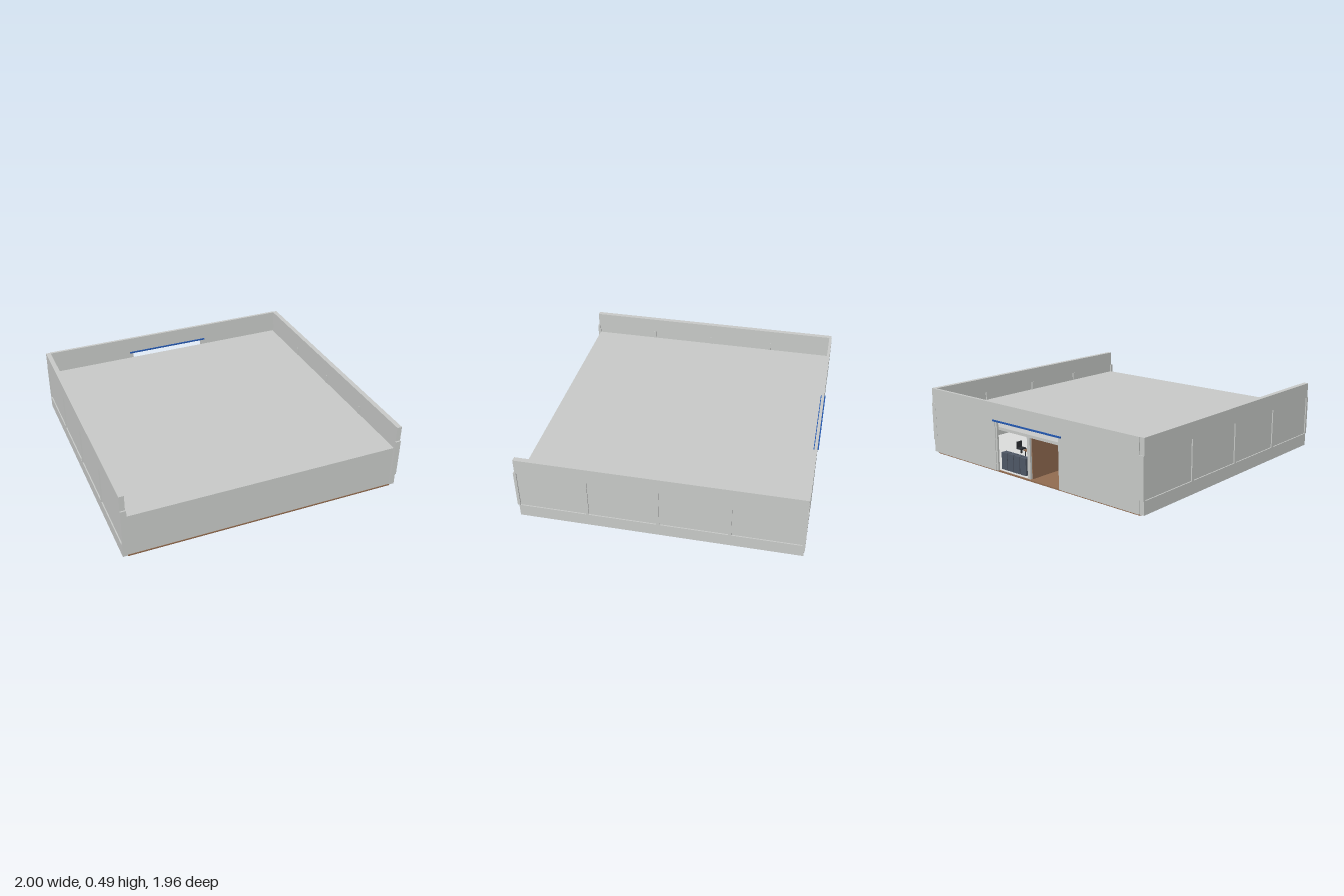
import * as THREE from 'three';

const mat = (name, color) => {
  const m = new THREE.MeshStandardMaterial({ color });
  m.name = name;
  return m;
};

export function createModel() {
  const root = new THREE.Group();
  root.name = 'building';
  const concrete = mat('light grey', 0xc8cac8);
  const wood = mat('brown', 0x926c50);
  const tile = mat('pale grey', 0xdcdddc);
  const blue = mat('blue', 0x2458b0);
  const slate = mat('slate', 0x4f5866);
  const dark = mat('charcoal', 0x2b2e33);

  // Box given by its low and high limits on each axis
  const box = (name, material, x0, x1, y0, y1, z0, z1, parent = root) => {
    const mesh = new THREE.Mesh(new THREE.BoxGeometry(x1 - x0, y1 - y0, z1 - z0), material);
    mesh.position.set((x0 + x1) / 2, (y0 + y1) / 2, (z0 + z1) / 2);
    mesh.name = name;
    parent.add(mesh);
    return mesh;
  };

  // Floor, roof slab and front wall
  box('floor', wood, -0.965, 0.965, 0, 0.01, -0.96, 0.965);
  box('roofSlab', concrete, -0.965, 0.965, 0.3, 0.32, -0.95, 0.962);
  box('frontWall', concrete, -0.965, 0.965, 0.01, 0.3, 0.94, 0.962);

  // Back wall with a doorway that reaches above the roof slab
  const outline = new THREE.Shape([
    [-0.965, 0.01], [-0.31, 0.01], [-0.31, 0.365], [0.31, 0.365],
    [0.31, 0.01], [0.965, 0.01], [0.965, 0.49], [-0.965, 0.49],
  ].map(([x, y]) => new THREE.Vector2(x, y)));
  const backWall = new THREE.Mesh(
    new THREE.ExtrudeGeometry(outline, { depth: 0.02, bevelEnabled: false }), concrete);
  backWall.position.z = -0.97;
  backWall.name = 'backWall';
  root.add(backWall);

  // Side walls: rails above and below, posts, and recessed panels
  for (const side of [-1, 1]) {
    const wall = new THREE.Group();
    wall.name = side > 0 ? 'leftWall' : 'rightWall';
    root.add(wall);
    const part = (name, inner, outer, y0, y1, z0, z1) =>
      box(name, concrete, Math.min(side * inner, side * outer), Math.max(side * inner, side * outer),
        y0, y1, z0, z1, wall);
    part('bottomRail', 0.965, 1, 0.01, 0.1, -0.965, 0.97);
    part('topRail', 0.965, 1, 0.38, 0.49, -0.965, 0.97);
    for (let i = 0; i < 4; i++) {
      const z = -0.952 + i * 0.483;
      part('panel', 0.972, 0.992, 0.1, 0.38, z, z + 0.466);
    }
    for (let i = 0; i < 5; i++) {
      const z = -0.961 + i * 0.483;
      part('post', 0.961, 1, 0.1, 0.38, z - 0.01, z + 0.01);
    }
  }

  // Doorway trim and jambs
  box('doorLintel', blue, -0.325, 0.325, 0.36, 0.371, -0.978, -0.943);
  for (const s of [-1, 1]) box('doorJamb', concrete, s * 0.302 - 0.008, s * 0.302 + 0.008, 0.01, 0.36, -0.966, -0.952);

  // Partition, timber on one face, and the tiled room beside it
  box('partition', concrete, -0.012, 0.015, 0.01, 0.3, -0.95, 0.94);
  box('partitionCladding', wood, -0.018, -0.012, 0.01, 0.3, -0.935, 0.94);
  box('tiledFloor', tile, 0.015, 0.961, 0.01, 0.013, -0.95, 0.94);

  // Row of cabinets by the doorway
  for (let i = 0; i < 4; i++) {
    const x = 0.055 + i * 0.062;
    box('cabinet', slate, x, x + 0.056, 0.013, 0.135, -0.93, -0.885);
  }

  // Table and chairs
  const table = new THREE.Group();
  table.name = 'table';
  root.add(table);
  box('tableTop', wood, 0.23, 0.35, 0.075, 0.083, -0.68, -0.62, table);
  for (const x of [0.24, 0.335]) for (const z of [-0.675, -0.63])
    box('tableLeg', dark, x, x + 0.006, 0.013, 0.075, z, z + 0.006, table);
  for (const [x, z] of [[0.47, -0.59], [0.325, -0.53]]) {
    const chair = new THREE.Group();
    chair.name = 'chair';
    chair.position.set(x, 0, z);
    root.add(chair);
    box('chairSeat', dark, -0.025, 0.025, 0.045, 0.055, -0.025, 0.025, chair);
    box('chairBack', dark, 0.018, 0.025, 0.055, 0.1, -0.025, 0.025, chair);
    box('chairStem', dark, -0.005, 0.005, 0.013, 0.045, -0.005, 0.005, chair);
  }

  // Slim stand inside the doorway
  const stand = new THREE.Mesh(new THREE.CylinderGeometry(0.005, 0.005, 0.1, 10), concrete);
  stand.position.set(-0.3, 0.06, -0.92);
  stand.name = 'stand';
  root.add(stand);
  box('standHead', dark, -0.311, -0.289, 0.11, 0.122, -0.927, -0.913);

  return root;
}
